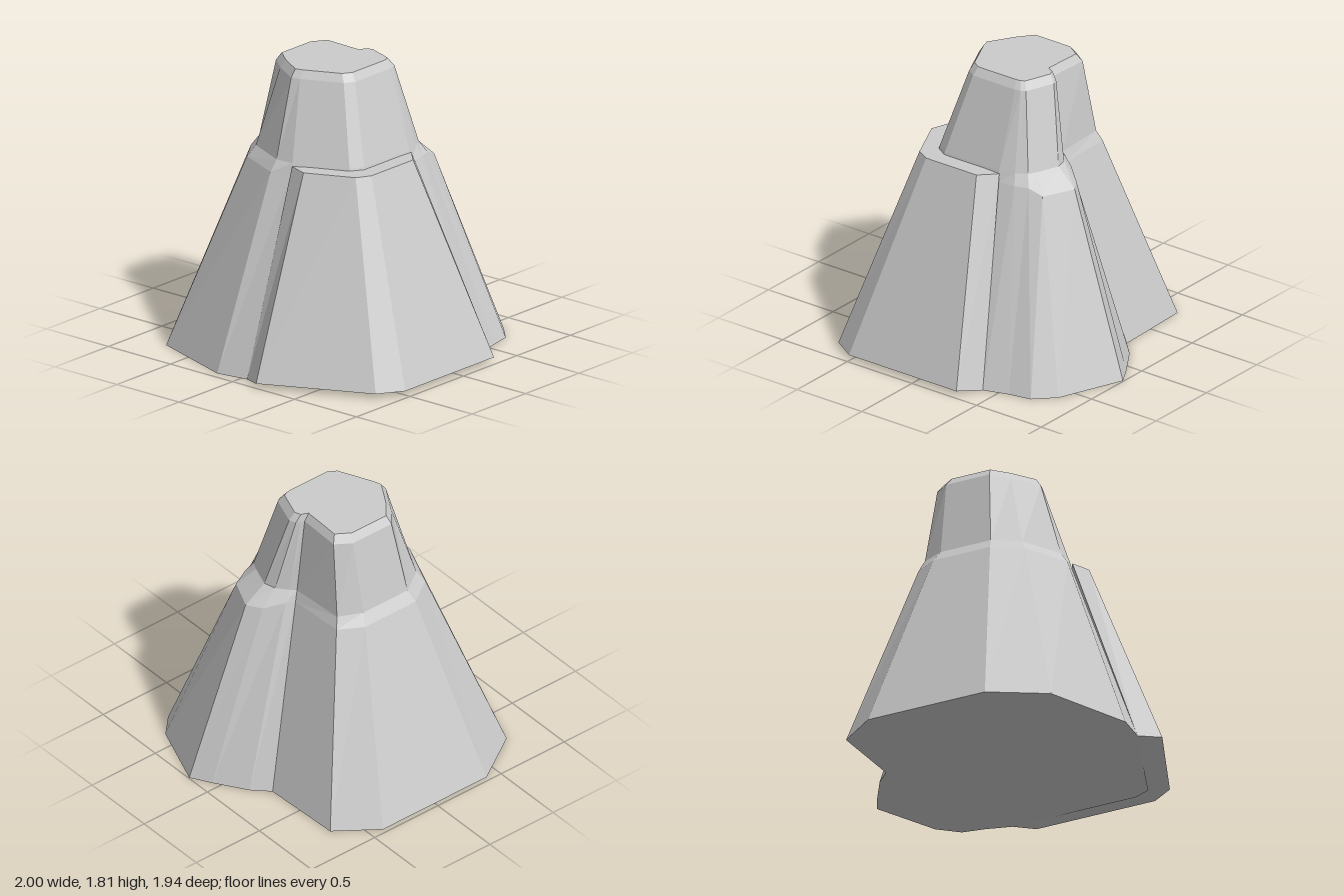
import * as THREE from 'three';

const material = new THREE.MeshStandardMaterial({ color: 0xcccccc, flatShading: true });

// Skin a stack of rings (bottom to top, points running from +x towards +z) and cap both ends
function loft(name, rings) {
  const pos = [];
  const tri = (a, b, c) => pos.push(...a, ...b, ...c);
  for (let r = 0; r < rings.length - 1; r++) {
    const lo = rings[r], hi = rings[r + 1], n = lo.length;
    for (let i = 0; i < n; i++) {
      const j = (i + 1) % n;
      tri(lo[i], hi[i], lo[j]);
      tri(lo[j], hi[i], hi[j]);
    }
  }
  const cap = (ring, up) => {
    const flat = ring.map(([x, , z]) => new THREE.Vector2(x, z));
    for (const [i, j, k] of THREE.ShapeUtils.triangulateShape(flat, [])) {
      const a = flat[i], b = flat[j], c = flat[k];
      const facesDown = (b.x - a.x) * (c.y - a.y) - (b.y - a.y) * (c.x - a.x) > 0;
      if (facesDown === up) tri(ring[i], ring[k], ring[j]);
      else tri(ring[i], ring[j], ring[k]);
    }
  };
  cap(rings[0], false);
  cap(rings[rings.length - 1], true);
  const geo = new THREE.BufferGeometry();
  geo.setAttribute('position', new THREE.Float32BufferAttribute(pos, 3));
  geo.computeVertexNormals();
  const mesh = new THREE.Mesh(geo, material);
  mesh.name = name;
  return mesh;
}

// Main rock: each column is [foot x,z], [shoulder x,z], [summit x,z], ledge width
function rockBody() {
  const columns = [
    [[-0.41, -0.97], [-0.18, -0.49], [-0.11, -0.37], 0.1],
    [[0.41, -0.97], [0.17, -0.49], [0.16, -0.37], 0.1],
    [[0.67, -0.78], [0.32, -0.42], [0.25, -0.31], 0.08],
    [[0.69, -0.25], [0.34, -0.06], [0.24, -0.05], 0.06],
    [[0.79, -0.15], [0.37, -0.03], [0.26, -0.04], 0.12],
    [[0.92, 0.05], [0.43, 0.04], [0.285, -0.03], 0.2],
    [[0.995, 0.18], [0.45, 0.12], [0.3, 0.01], 0.25],
    [[0.83, 0.61], [0.4, 0.26], [0.255, 0.14], 0.22],
    [[0.71, 0.73], [0.37, 0.32], [0.24, 0.18], 0.1],
    [[0.56, 0.76], [0.3, 0.36], [0.215, 0.195], 0.08],
    [[0.4, 0.81], [0.2, 0.39], [0.18, 0.2], 0.04],
    [[-0.46, 0.81], [-0.22, 0.39], [-0.11, 0.2], 0.04],
    [[-0.58, 0.76], [-0.3, 0.34], [-0.165, 0.165], 0.04],
    [[-0.91, 0.04], [-0.45, 0.01], [-0.27, -0.06], 0.05],
    [[-0.945, -0.17], [-0.46, -0.11], [-0.285, -0.11], 0.1],
    [[-0.75, -0.75], [-0.34, -0.38], [-0.19, -0.27], 0.1],
  ];
  const mix = (a, b, t) => a + (b - a) * t;
  const foot = columns.map(([f]) => [f[0], 0, f[1]]);
  // Sloping ledge below the shoulder, lower where it is wider
  const ledge = columns.map(([f, s, , w]) =>
    [mix(s[0], f[0], w), w > 0.15 ? 1.16 : 1.2, mix(s[1], f[1], w)]);
  const shoulder = columns.map(([, s]) => [s[0], 1.27, s[1]]);
  // Bevelled rim around the flat summit
  const rim = columns.map(([, , t]) => [t[0] * 1.12, 1.76, (t[1] + 0.08) * 1.12 - 0.08]);
  const summit = columns.map(([, , t]) => [t[0], 1.81, t[1]]);
  return loft('rockBody', [foot, ledge, shoulder, rim, summit]);
}

// Slab leaning on the front left of the rock, with a flat top; its last two points lie inside the rock
function frontSlab() {
  const foot = [
    [0.4, 0, 0.81], [0.32, 0.03, 0.97], [-0.51, 0.03, 0.97], [-0.67, 0.03, 0.87],
    [-1, 0.03, 0.19], [-0.91, 0, 0.04], [-0.56, 0.001, 0.74], [-0.45, 0.001, 0.79],
  ];
  const top = [
    [0.21, 0.4], [0.11, 0.5], [-0.28, 0.5], [-0.37, 0.45],
    [-0.51, 0.15], [-0.465, 0.02], [-0.28, 0.32], [-0.2, 0.37],
  ].map(([x, z]) => [x, 1.255, z]);
  return loft('frontSlab', [foot, top]);
}

export function createModel() {
  const group = new THREE.Group();
  group.name = 'rockFormation';
  group.add(rockBody(), frontSlab());
  return group;
}
